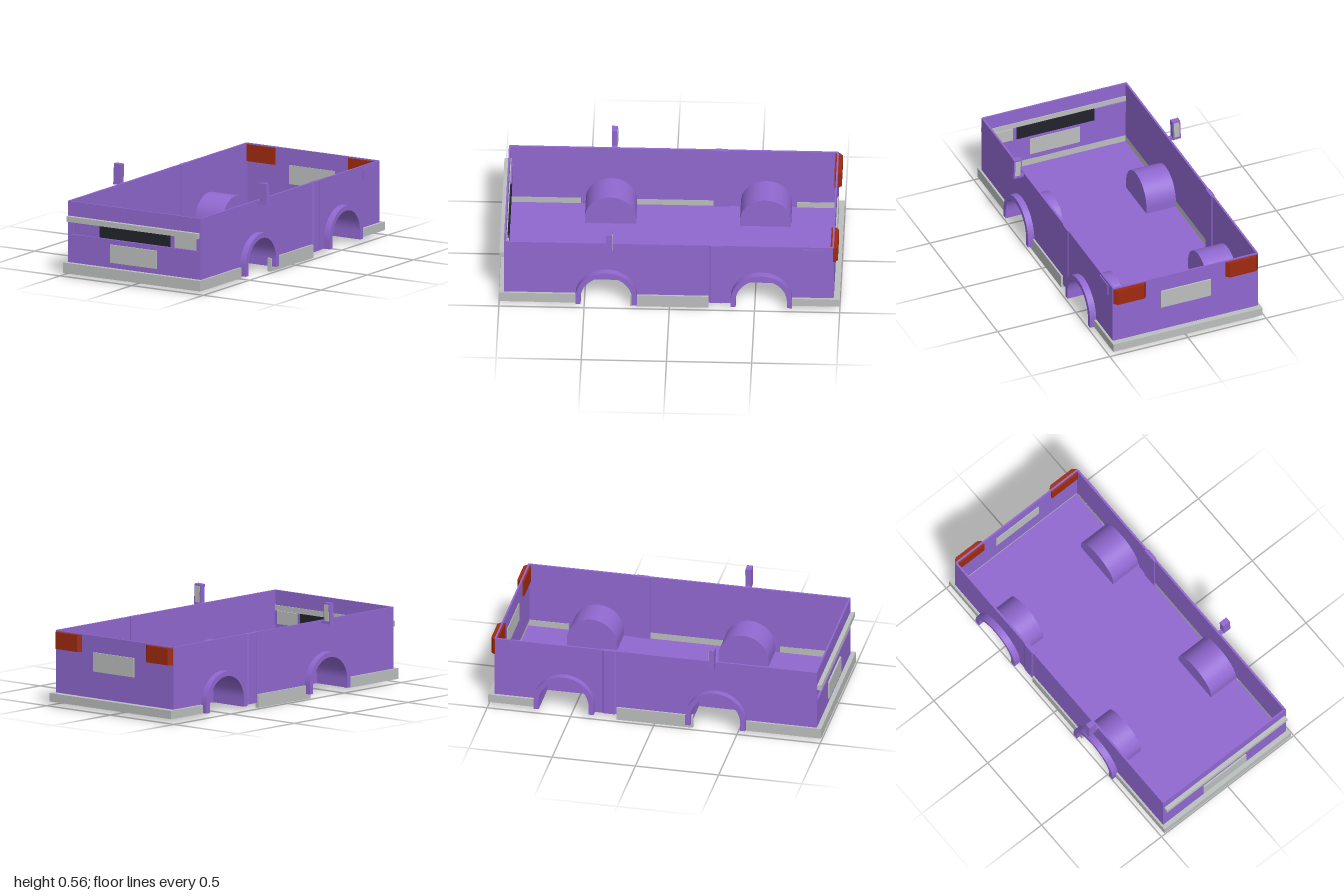
import * as THREE from 'three';

const mat = (name, color, extra = {}) => Object.assign(new THREE.MeshStandardMaterial({ color, ...extra }), { name });

export function createModel() {
  const model = new THREE.Group();
  model.name = 'openVanBody';
  const paint = mat('purplePaint', 0x9068d0, { side: THREE.DoubleSide });
  const grey = mat('greyTrim', 0xbbbfbe);
  const black = mat('blackGrille', 0x22222c);
  const red = mat('redLamp', 0xa02a10);

  const add = (name, geo, material, parent = model) => {
    const m = new THREE.Mesh(geo, material);
    m.name = name;
    parent.add(m);
    return m;
  };
  // Box given by its limits on each axis
  const box = (name, material, x0, x1, y0, y1, z0, z1, parent) => {
    const g = new THREE.BoxGeometry(x1 - x0, y1 - y0, z1 - z0);
    g.translate((x0 + x1) / 2, (y0 + y1) / 2, (z0 + z1) / 2);
    return add(name, g, material, parent);
  };
  const extrude = (shape, depth) =>
    new THREE.ExtrudeGeometry(shape, { depth, bevelEnabled: false, curveSegments: 20 });
  // Side profile drawn in (z, y), filling x0..x1
  const sideExtrude = (shape, x0, x1) => extrude(shape, x1 - x0).rotateY(-Math.PI / 2).translate(x1, 0, 0);
  const poly = (pts) => new THREE.Shape(pts.map(([a, b]) => new THREE.Vector2(a, b)));
  const rectHole = (x0, x1, y0, y1) => new THREE.Path(
    [[x0, y0], [x0, y1], [x1, y1], [x1, y0]].map(([a, b]) => new THREE.Vector2(a, b)));

  const AXLES = [-0.54, 0.37], R = 0.15, HUB = 0.08, FLOOR = 0.03;

  // Floor with four notches for the wheel wells
  const half = [[0.455, -0.97]];
  for (const z of AXLES) half.push([0.455, z - R], [0.265, z - R], [0.265, z + R], [0.455, z + R]);
  half.push([0.455, 0.97]);
  const outline = [...half, ...half.map(([x, z]) => [-x, z]).reverse()];
  add('floor', extrude(poly(outline.map(([x, z]) => [x, -z])), 0.01)
    .rotateX(-Math.PI / 2).translate(0, FLOOR, 0), paint);

  // Side wall with arch cut-outs
  const wall = new THREE.Shape();
  wall.moveTo(-0.96, HUB);
  for (const z of AXLES) {
    wall.lineTo(z - R, HUB);
    wall.absarc(z, HUB, R, Math.PI, 0, true);
  }
  wall.lineTo(0.97, HUB);
  wall.lineTo(0.97, 0.45);
  wall.lineTo(-0.96, 0.45);
  wall.closePath();

  // Wheel-arch flare
  const flare = new THREE.Shape();
  flare.moveTo(0.18, FLOOR);
  flare.lineTo(0.18, HUB);
  flare.absarc(0, HUB, 0.18, 0, Math.PI, false);
  flare.lineTo(-0.18, FLOOR);
  flare.lineTo(-R, FLOOR);
  flare.lineTo(-R, HUB);
  flare.absarc(0, HUB, R, Math.PI, 0, true);
  flare.lineTo(R, FLOOR);
  flare.closePath();

  // Inner face of a wheel well
  const wellEnd = new THREE.Shape();
  wellEnd.moveTo(R, FLOOR);
  wellEnd.lineTo(R, HUB);
  wellEnd.absarc(0, HUB, R, 0, Math.PI, false);
  wellEnd.lineTo(-R, FLOOR);
  wellEnd.closePath();

  for (const s of [1, -1]) {
    const side = new THREE.Group();
    side.name = s > 0 ? 'leftSide' : 'rightSide';
    model.add(side);
    const span = (a, b) => (s > 0 ? [a, b] : [-b, -a]);

    add('sideWall', sideExtrude(wall, ...span(0.453, 0.465)), paint, side);
    box('sill', grey, ...span(0.453, 0.476), 0, 0.08, -0.23, 0.23, side);

    // Door pillar with chamfered edges
    const pillar = poly([[0.446, 0.23], [0.464, 0.23], [0.47, 0.245], [0.47, 0.305], [0.464, 0.32], [0.446, 0.32]]
      .map(([x, z]) => [s * x, z]));
    add('pillar', extrude(pillar, 0.42).rotateX(-Math.PI / 2).translate(0, FLOOR, 0), paint, side);
    box('lowerPanel', paint, ...span(0.453, 0.465), FLOOR, 0.08, -0.38, -0.23, side);

    for (const z of AXLES) {
      add('archFlare', sideExtrude(flare, ...span(0.462, 0.505)).translate(0, 0, z), paint, side);
      const [x0, x1] = span(0.265, 0.47);
      const barrel = new THREE.CylinderGeometry(R, R, x1 - x0, 28, 1, true, 0, Math.PI)
        .rotateZ(Math.PI / 2).translate((x0 + x1) / 2, HUB, z);
      add('wheelWell', barrel, paint, side);
      add('wheelWellEnd', new THREE.ShapeGeometry(wellEnd, 20).rotateY(-Math.PI / 2)
        .translate(s * 0.265, 0, z), paint, side);
      for (const e of [-R, R])
        add('wheelWellSkirt', new THREE.PlaneGeometry(x1 - x0, HUB - FLOOR)
          .translate((x0 + x1) / 2, (HUB + FLOOR) / 2, z + e), paint, side);
    }

    // Door mirror, leaning slightly
    const mirror = new THREE.Group();
    mirror.name = 'mirror';
    mirror.position.set(s * 0.508, 0.494, 0.352);
    mirror.rotation.z = -s * 0.04 * -1;
    side.add(mirror);
    box('mirrorHousing', paint, -0.025, 0.025, -0.063, 0.063, -0.017, 0.017, mirror);
    box('mirrorGlass', grey, -0.017, 0.017, -0.045, 0.053, -0.02, -0.016, mirror);
    box('mirrorArm', paint, ...span(0.455, 0.49), 0.43, 0.446, 0.34, 0.365, side);

    // Tail lamp tapering toward the rear
    const lamp = poly([[0.255, 0.945], [0.46, 0.945], [0.46, 0.97], [0.44, 0.988], [0.275, 0.988], [0.255, 0.97]]
      .map(([x, z]) => [s * x, z]));
    add('tailLamp', extrude(lamp, 0.1).rotateX(-Math.PI / 2).translate(0, 0.343, 0), red, side);

    // Headlamp frame bars
    box('lampInnerFrame', paint, ...span(0.25, 0.272), 0.25, 0.33, 0.95, 0.966, side);
    box('lampOuterFrame', paint, ...span(0.43, 0.455), 0.25, 0.33, 0.95, 0.966, side);
  }

  // Front wall with a recessed band for grille and lamps
  const front = poly([[-0.46, 0.08], [0.46, 0.08], [0.46, 0.45], [-0.46, 0.45]]);
  front.holes.push(rectHole(-0.45, 0.45, 0.252, 0.33));
  add('frontWall', extrude(front, 0.01).translate(0, 0, 0.962), paint);
  box('grille', black, -0.25, 0.25, 0.252, 0.33, 0.948, 0.958);
  box('headlamp', grey, 0.272, 0.43, 0.252, 0.33, 0.948, 0.958);
  box('lampBlank', paint, -0.43, -0.272, 0.252, 0.33, 0.948, 0.958);
  box('noseStrip', grey, -0.455, 0.455, 0.33, 0.362, 0.957, 0.998);
  box('frontPlate', grey, -0.162, 0.158, 0.115, 0.223, 0.958, 0.982);

  // Rear wall and plate
  box('rearWall', paint, -0.46, 0.46, 0.08, 0.45, -0.965, -0.955);
  box('rearPlate', grey, -0.16, 0.16, 0.238, 0.352, -0.974, -0.951);

  // Wrap-around bumpers: U shapes open toward the middle
  const bumper = (name, dir, inner, y0, y1) => {
    const u = poly([[-0.478, inner], [-0.453, inner], [-0.453, 0.962], [0.453, 0.962],
      [0.453, inner], [0.478, inner], [0.478, 1], [-0.478, 1]].map(([x, z]) => [x, -dir * z]));
    add(name, extrude(u, y1 - y0).rotateX(-Math.PI / 2).translate(0, y0, 0), grey);
  };
  bumper('frontBumper', 1, 0.55, 0.02, 0.083);
  bumper('rearBumper', -1, 0.72, 0.028, 0.078);

  // Fuel flap on the left side
  box('fuelFlap', paint, 0.464, 0.471, 0.365, 0.435, -0.9, -0.78);

  return model;
}
